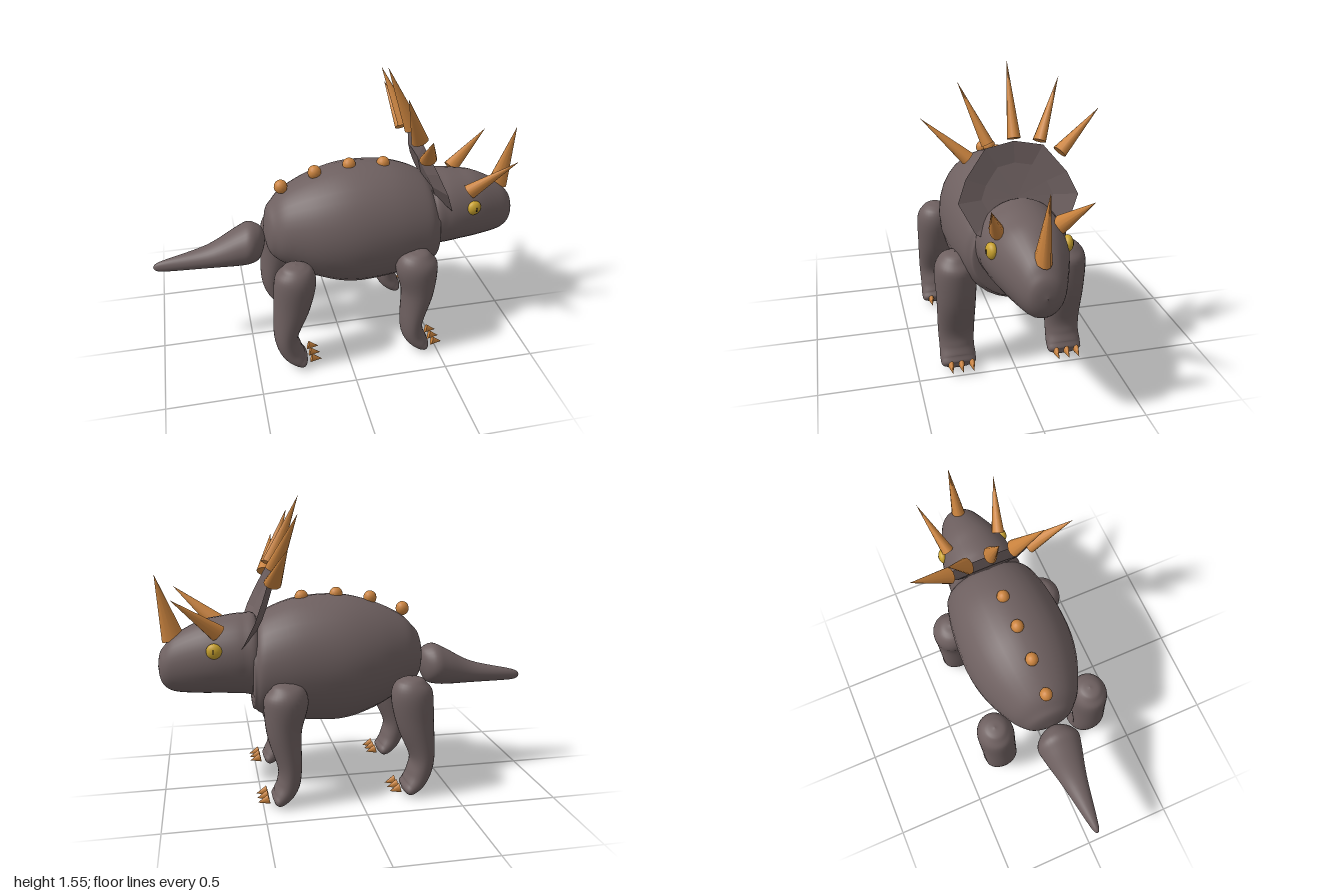
import * as THREE from 'three';

const mat = (name, color) => {
  const m = new THREE.MeshStandardMaterial({ color });
  m.name = name;
  return m;
};

// Smooth skin through stations [x, y, radius across path, radius in z]
function loft(stations, upright, steps = 48, sides = 32) {
  const path = new THREE.CatmullRomCurve3(stations.map(s => new THREE.Vector3(s[0], s[1], 0)), false, 'catmullrom');
  const size = new THREE.CatmullRomCurve3(stations.map(s => new THREE.Vector3(s[2], s[3], 0)), false, 'catmullrom');
  const pos = [], idx = [];
  for (let i = 0; i <= steps; i++) {
    const c = path.getPoint(i / steps), r = size.getPoint(i / steps);
    const t = upright ? new THREE.Vector3(1, 0, 0) : path.getTangent(i / steps);
    const rn = Math.max(r.x, 0.001), rz = Math.max(r.y, 0.001);
    for (let j = 0; j < sides; j++) {
      const a = (j / sides) * Math.PI * 2, n = rn * Math.cos(a);
      pos.push(c.x - t.y * n, c.y + t.x * n, rz * Math.sin(a));
      if (i === steps) continue;
      const k = (j + 1) % sides, p = i * sides, q = p + sides;
      idx.push(p + j, p + k, q + j, p + k, q + k, q + j);
    }
  }
  const g = new THREE.BufferGeometry();
  g.setAttribute('position', new THREE.Float32BufferAttribute(pos, 3));
  g.setIndex(idx);
  g.computeVertexNormals();
  return g;
}

// Dished neck shield, faceted, closed front and back
function frillGeometry() {
  const half = [[0, 1.205], [0.14, 1.18], [0.245, 1.055], [0.29, 0.955], [0.22, 0.82], [0.15, 0.785], [0, 0.77]];
  const rim = [...half, ...half.slice(1, -1).reverse().map(([z, y]) => [-z, y])];
  const pos = [], idx = [], n = rim.length, midY = 0.95;
  const put = (z, y, back) => pos.push(0.59 - (y - 0.785) * 0.43 - back, y, z);
  for (const [scale, back] of [[1, 0], [0.6, 0.028], [0.6, 0.048]])
    for (const [z, y] of rim) put(z * scale, midY + (y - midY) * scale, back);
  put(0, midY, 0.035);
  put(0, midY, 0.055);
  for (let i = 0; i < n; i++) {
    const k = (i + 1) % n;
    idx.push(i, k, n + i, k, n + k, n + i, 3 * n, n + i, n + k);
    idx.push(i, 2 * n + i, k, k, 2 * n + i, 2 * n + k, 3 * n + 1, 2 * n + k, 2 * n + i);
  }
  const g = new THREE.BufferGeometry();
  g.setAttribute('position', new THREE.Float32BufferAttribute(pos, 3));
  g.setIndex(idx);
  const flat = g.toNonIndexed();
  flat.computeVertexNormals();
  return flat;
}

export function createModel() {
  const model = new THREE.Group();
  const hide = mat('hide', 0x6e6060);
  const horn = mat('horn', 0xcd853f);
  const gold = mat('eyeGold', 0xc9a22e);
  const black = mat('pupilBlack', 0x1a1412);

  const add = (name, geometry, material, x = 0, y = 0, z = 0) => {
    const m = new THREE.Mesh(geometry, material);
    m.name = name;
    m.position.set(x, y, z);
    model.add(m);
    return m;
  };
  const spike = (name, base, tip, rx, rz) => {
    const b = new THREE.Vector3(...base), d = new THREE.Vector3(...tip).sub(b);
    const g = new THREE.ConeGeometry(1, 1, 12).translate(0, 0.5, 0).scale(rx, d.length(), rz);
    add(name, g, horn, ...base).quaternion.setFromUnitVectors(new THREE.Vector3(0, 1, 0), d.normalize());
  };

  // Torso, head and tail
  add('body', loft([
    [-0.405, 0.69, 0, 0], [-0.385, 0.70, 0.11, 0.10], [-0.35, 0.70, 0.16, 0.15], [-0.28, 0.71, 0.215, 0.205],
    [-0.12, 0.705, 0.295, 0.275], [0.06, 0.70, 0.34, 0.307], [0.28, 0.70, 0.328, 0.297],
    [0.45, 0.685, 0.28, 0.265], [0.505, 0.67, 0.235, 0.235], [0.525, 0.67, 0.2, 0.2], [0.525, 0.67, 0, 0],
  ], true, 60), hide);
  add('head', loft([
    [0.48, 0.735, 0, 0], [0.49, 0.735, 0.2, 0.19], [0.57, 0.742, 0.213, 0.208], [0.68, 0.74, 0.202, 0.195],
    [0.78, 0.732, 0.19, 0.168], [0.91, 0.705, 0.15, 0.118], [0.965, 0.69, 0.108, 0.088],
    [0.99, 0.69, 0.066, 0.055], [1.0, 0.69, 0, 0],
  ], true, 56), hide);
  add('tail', loft([
    [-1.0, 0.54, 0, 0], [-0.985, 0.54, 0.02, 0.014], [-0.93, 0.545, 0.034, 0.028], [-0.71, 0.572, 0.06, 0.07],
    [-0.55, 0.614, 0.102, 0.11], [-0.485, 0.632, 0.113, 0.12], [-0.44, 0.635, 0.1, 0.095],
    [-0.41, 0.65, 0.06, 0.05], [-0.395, 0.655, 0, 0],
  ], true), hide);

  // Legs, with three claws on each foot
  const foreleg = loft([
    [0.375, 0.647, 0, 0], [0.375, 0.63, 0.065, 0.06], [0.372, 0.56, 0.112, 0.105], [0.385, 0.40, 0.09, 0.1],
    [0.36, 0.21, 0.062, 0.094], [0.37, 0.115, 0.059, 0.09], [0.405, 0.058, 0.05, 0.092],
    [0.438, 0.034, 0.032, 0.08], [0.447, 0.03, 0, 0],
  ]);
  const hindleg = loft([
    [-0.28, 0.647, 0, 0], [-0.28, 0.63, 0.065, 0.06], [-0.28, 0.56, 0.108, 0.1], [-0.302, 0.40, 0.098, 0.1],
    [-0.34, 0.22, 0.066, 0.094], [-0.32, 0.115, 0.062, 0.09], [-0.282, 0.058, 0.05, 0.092],
    [-0.247, 0.036, 0.032, 0.08], [-0.236, 0.03, 0, 0],
  ]);
  for (const s of [1, -1]) {
    add('frontLeg', foreleg, hide, 0, 0, s * 0.285);
    add('backLeg', hindleg, hide, 0, 0, s * 0.285);
    for (const x of [0.473, -0.213])
      for (const z of [0.225, 0.28, 0.333])
        spike('claw', [x, 0.056, s * z], [x + 0.058, 0.042, s * z], 0.027, 0.015);

    // Eyes and brow horns
    add('eye', new THREE.SphereGeometry(1, 20, 14).scale(0.04, 0.04, 0.026), gold, 0.715, 0.80, s * 0.178).rotation.y = s * 0.2;
    add('pupil', new THREE.BoxGeometry(0.006, 0.022, 0.004), black, 0.72, 0.80, s * 0.203);
    spike('browHorn', [0.69, 0.885, s * 0.15], [0.915, 1.075, s * 0.225], 0.046, 0.034);

    // Paired frill spikes
    spike('frillSpike', [0.405, 1.195, s * 0.125], [0.295, 1.475, s * 0.245], 0.045, 0.03);
    spike('frillSpike', [0.42, 1.138, s * 0.222], [0.365, 1.328, s * 0.43], 0.045, 0.034);
  }

  // Frill, middle spike and nose horn
  add('frill', frillGeometry(), hide);
  spike('frillSpike', [0.405, 1.215, 0], [0.26, 1.555, 0], 0.045, 0.032);
  spike('noseHorn', [0.915, 0.83, 0], [0.995, 1.17, 0], 0.06, 0.037);

  // Row of studs along the spine
  for (const [x, y] of [[-0.3, 0.95], [-0.12, 1.015], [0.065, 1.04], [0.25, 1.03]])
    add('backStud', new THREE.SphereGeometry(1, 14, 10).scale(0.036, 0.038, 0.034), horn, x, y, 0);

  return model;
}
